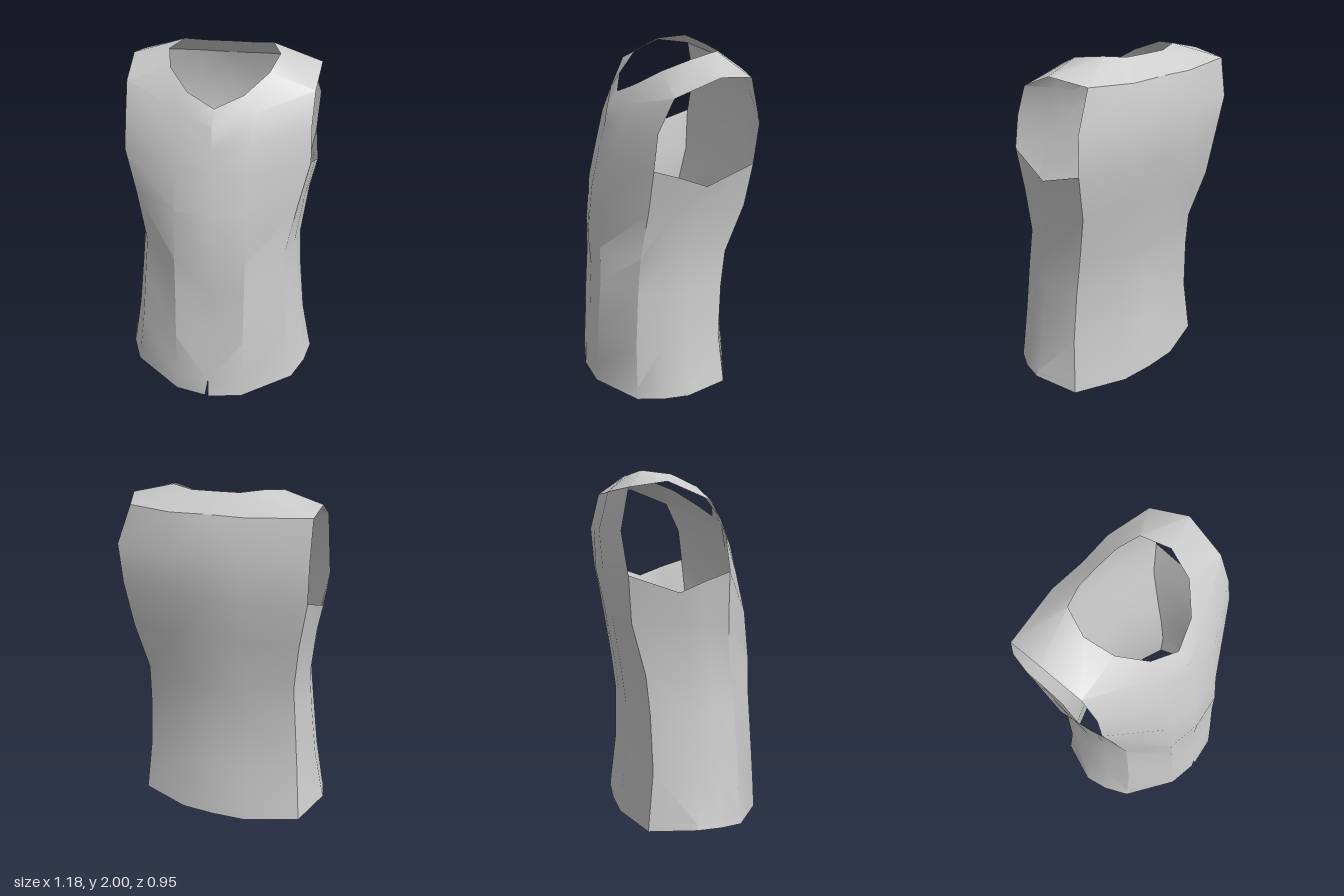
import * as THREE from 'three';
import { toCreasedNormals } from 'three/addons/utils/BufferGeometryUtils.js';

// Body: columns run from front centre round the side to back centre, rows from hem to armhole
const ROWS = [0.12, 0.4, 0.72, 0.93, 1.22];
const COLUMNS = [
  { hem: 0.003, top: 1.45, x: 0, z: [0.475, 0.468, 0.43, 0.41, 0.42, 0.385, 0.335] },
  { hem: 0.012, top: 1.45, x: 0.2, z: [0.445, 0.44, 0.42, 0.395, 0.39, 0.36, 0.305] },
  { hem: 0.05, top: 1.48, x: [0.49, 0.48, 0.445, 0.42, 0.405, 0.46, 0.515], z: [0.26, 0.257, 0.25, 0.23, 0.21, 0.18, 0.165] },
  { hem: 0.075, top: 1.435, x: [0.56, 0.55, 0.505, 0.47, 0.45, 0.49, 0.532], z: [0.12, 0.12, 0.11, 0.1, 0.09, 0.06, 0.03] },
  { hem: 0.09, top: 1.38, x: [0.59, 0.582, 0.525, 0.49, 0.475, 0.51, 0.545], z: [-0.02, -0.02, -0.02, -0.03, -0.04, -0.08, -0.11] },
  { hem: 0.07, top: 1.47, x: [0.5, 0.495, 0.47, 0.45, 0.44, 0.48, 0.52], z: [-0.275, -0.27, -0.24, -0.25, -0.27, -0.35, -0.37] },
  { hem: 0.07, top: 1.47, x: 0.2, z: [-0.385, -0.38, -0.345, -0.34, -0.365, -0.41, -0.455] },
  { hem: 0.07, top: 1.47, x: 0, z: [-0.395, -0.39, -0.347, -0.345, -0.37, -0.42, -0.47] },
];

// Triangles of a grid of points; side -1 mirrors it and reverses the corners
function addGrid(out, rows, side) {
  const put = (...points) => {
    if (side < 0) points.reverse();
    for (const [x, y, z] of points) out.push(side * x, y, z);
  };
  for (let r = 0; r + 1 < rows.length; r++) {
    for (let c = 0; c + 1 < rows[r].length; c++) {
      const a = rows[r][c], b = rows[r][c + 1], d = rows[r + 1][c], e = rows[r + 1][c + 1];
      put(a, b, e);
      put(a, e, d);
    }
  }
}

// The four cloth pieces of one half
function halfPieces(side) {
  const body = [];
  for (let r = 0; r < 7; r++) {
    body.push(COLUMNS.map(({ hem, top, x, z }) => [
      Array.isArray(x) ? x[r] : x,
      r === 0 ? hem : r === 6 ? top : ROWS[r - 1],
      z[r],
    ]));
  }
  const armhole = body[6];

  // Yoke edge and neckline, both from front centre to back centre
  const yokeEdge = [
    [0, 1.685, 0.28], [0.2, 1.745, 0.21], [0.51, 1.84, 0.06], [0.53, 1.93, -0.17],
    [side > 0 ? 0.45 : 0.53, 1.9, -0.365], [0.2, 1.89, -0.42], [0, 1.89, -0.41],
  ];
  const neckline = [
    [0, 1.765, 0.22], [0.15, 1.83, 0.168], [0.265, 1.92, 0.05], [0.305, 1.98, -0.1],
    [0.25, 2, -0.25], [0.13, 1.985, -0.292], [0, 1.985, -0.295],
  ];
  const chest = [[0, 1.57, 0.3], [0.2, 1.61, 0.265], [0.505, 1.67, 0.14]];
  const shoulderBlade = [[0.53, 1.69, side > 0 ? -0.385 : -0.405], [0.2, 1.69, -0.472], [0, 1.69, -0.475]];

  // Small slit at the front of the hem
  if (side < 0) body[0][0] = [0.018, 0.006, 0.472];

  return {
    body,
    frontPanel: [armhole.slice(0, 3), chest, yokeEdge.slice(0, 3)],
    backPanel: [armhole.slice(5), shoulderBlade, yokeEdge.slice(4)],
    shoulderYoke: [yokeEdge, neckline],
  };
}

export function createModel() {
  const group = new THREE.Group();
  group.name = 'sleevelessVest';
  const material = new THREE.MeshStandardMaterial({ color: 0xcccccc, side: THREE.DoubleSide });

  // Gather all pieces first so that shading runs smoothly across their joins
  const left = halfPieces(1), right = halfPieces(-1);
  const positions = [];
  const ranges = [];
  for (const name of Object.keys(left)) {
    const start = positions.length;
    addGrid(positions, left[name], 1);
    addGrid(positions, right[name], -1);
    ranges.push({ name, start, end: positions.length });
  }
  const whole = new THREE.BufferGeometry();
  whole.setAttribute('position', new THREE.Float32BufferAttribute(positions, 3));
  const shaded = toCreasedNormals(whole, 0.55);

  // One mesh per piece
  for (const { name, start, end } of ranges) {
    const geometry = new THREE.BufferGeometry();
    for (const key of ['position', 'normal']) {
      geometry.setAttribute(key, new THREE.BufferAttribute(shaded.attributes[key].array.slice(start, end), 3));
    }
    const mesh = new THREE.Mesh(geometry, material);
    mesh.name = name;
    group.add(mesh);
  }
  return group;
}
